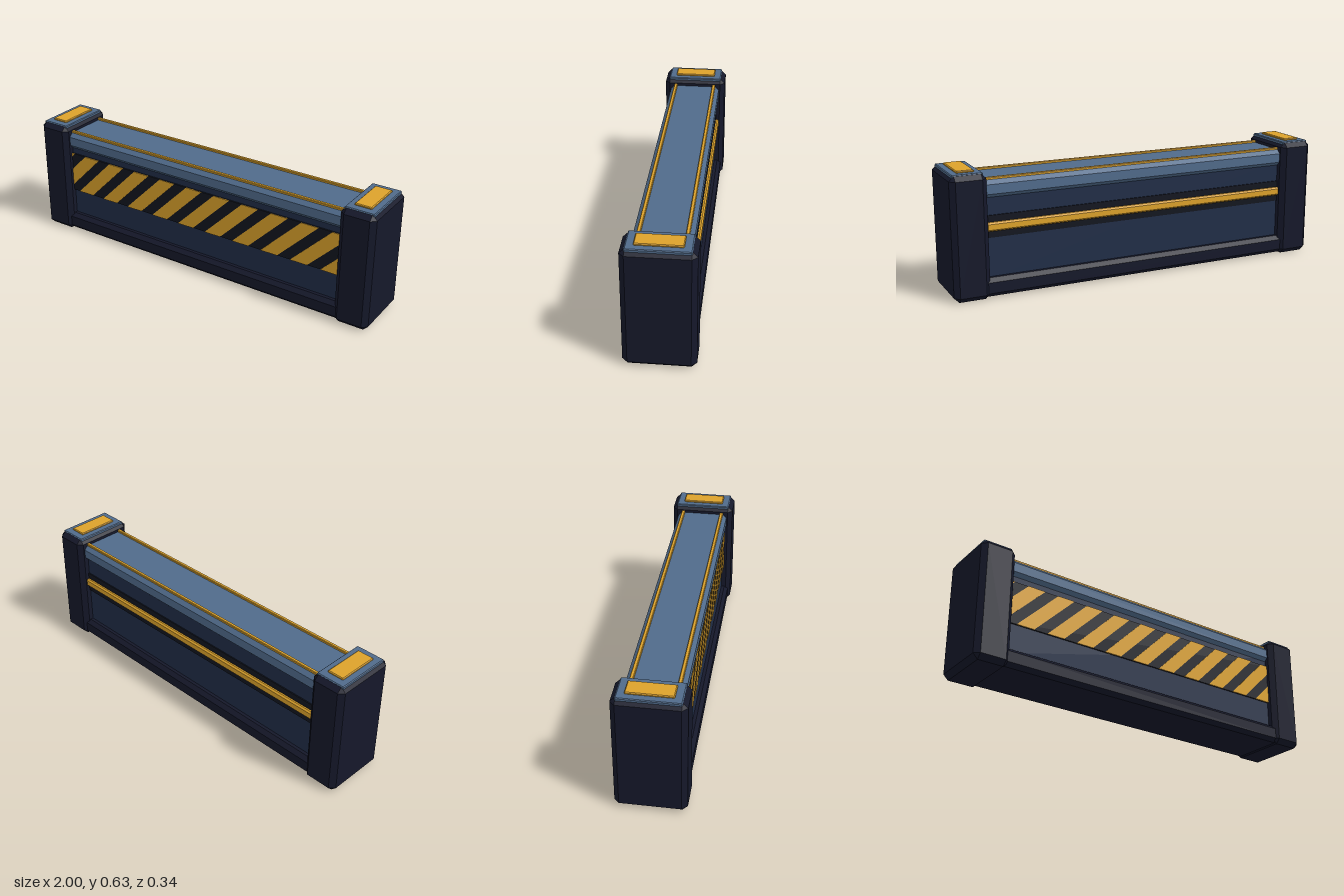
import * as THREE from 'three';
import { ConvexGeometry } from 'three/addons/geometries/ConvexGeometry.js';

const paint = (color) => new THREE.MeshStandardMaterial({ color });

// Box between two corners with every edge chamfered by c
function chamferBox(x0, x1, y0, y1, z0, z1, c) {
  const half = [(x1 - x0) / 2, (y1 - y0) / 2, (z1 - z0) / 2];
  const points = [];
  for (const sx of [-1, 1]) for (const sy of [-1, 1]) for (const sz of [-1, 1]) {
    for (let face = 0; face < 3; face++) {
      const [x, y, z] = half.map((h, axis) => (axis === face ? h : h - c));
      points.push(new THREE.Vector3(sx * x, sy * y, sz * z));
    }
  }
  const geometry = new ConvexGeometry(points);
  geometry.translate((x0 + x1) / 2, (y0 + y1) / 2, (z0 + z1) / 2);
  return geometry;
}

export function createModel() {
  const model = new THREE.Group();
  model.name = 'barrier';
  const dark = paint(0x15182a);
  const black = paint(0x12151f);
  const navy = paint(0x202d47);
  const steel = paint(0x506b8b);
  const gold = paint(0xdca22b);

  const add = (name, geometry, material, parent = model) => {
    const mesh = new THREE.Mesh(geometry, material);
    mesh.name = name;
    parent.add(mesh);
    return mesh;
  };

  // End posts with a steel cap and a gold plate on top
  for (const side of [-1, 1]) {
    const post = new THREE.Group();
    post.name = side > 0 ? 'leftPost' : 'rightPost';
    post.position.x = side * 0.91;
    add('postBody', chamferBox(-0.09, 0.09, 0, 0.617, -0.17, 0.17, 0.025), dark, post);
    add('postCap', chamferBox(-0.076, 0.076, 0.6, 0.62, -0.147, 0.147, 0.004), steel, post);
    add('postPlate', chamferBox(-0.044, 0.044, 0.618, 0.63, -0.11, 0.11, 0.004), gold, post);
    model.add(post);
  }

  // Wall between the posts: base, core and top rail
  add('base', chamferBox(-0.86, 0.86, 0.006, 0.1, -0.157, 0.157, 0.02), dark);
  add('core', new THREE.BoxGeometry(1.68, 0.44, 0.24).translate(0, 0.3, 0), navy);
  add('topRail', chamferBox(-0.85, 0.85, 0.49, 0.577, -0.138, 0.138, 0.02), steel);
  for (const side of [-1, 1]) {
    add('railStrip', chamferBox(-0.83, 0.83, 0.57, 0.588, side * 0.109 - 0.009, side * 0.109 + 0.009, 0.003), gold);
  }

  // Front warning panel with slanted stripes trimmed to the panel ends
  const end = 0.823, low = 0.24, high = 0.46, lean = high - low;
  add('warningPanel', new THREE.BoxGeometry(end * 2, lean, 0.02).translate(0, 0.35, 0.118), black);
  const stripes = new THREE.Group();
  stripes.name = 'warningStripes';
  for (let i = -2; i < 10; i++) {
    const x = -0.78 + i * 0.167, w = 0.094;
    let corners = [[x, low], [x + w, low], [x + w + lean, high], [x + lean, high]];
    // Cut the outline at each end of the panel
    for (const side of [-1, 1]) {
      const inside = (p) => side * p[0] <= end;
      corners = corners.flatMap((p, k) => {
        const q = corners[(k + 1) % corners.length];
        const kept = inside(p) ? [p] : [];
        if (inside(p) !== inside(q)) {
          const t = (side * end - p[0]) / (q[0] - p[0]);
          kept.push([side * end, p[1] + t * (q[1] - p[1])]);
        }
        return kept;
      });
    }
    if (corners.length < 3) continue;
    const shape = new THREE.Shape(corners.map((p) => new THREE.Vector2(p[0], p[1])));
    const geometry = new THREE.ExtrudeGeometry(shape, { depth: 0.005, bevelEnabled: false });
    add('stripe', geometry.translate(0, 0, 0.126), gold, stripes);
  }
  model.add(stripes);

  // Back band with a raised gold bar
  add('backBand', new THREE.BoxGeometry(end * 2, 0.11, 0.02).translate(0, 0.35, -0.116), black);
  add('backBar', chamferBox(-0.825, 0.825, 0.328, 0.372, -0.142, -0.115, 0.008), gold);

  return model;
}
